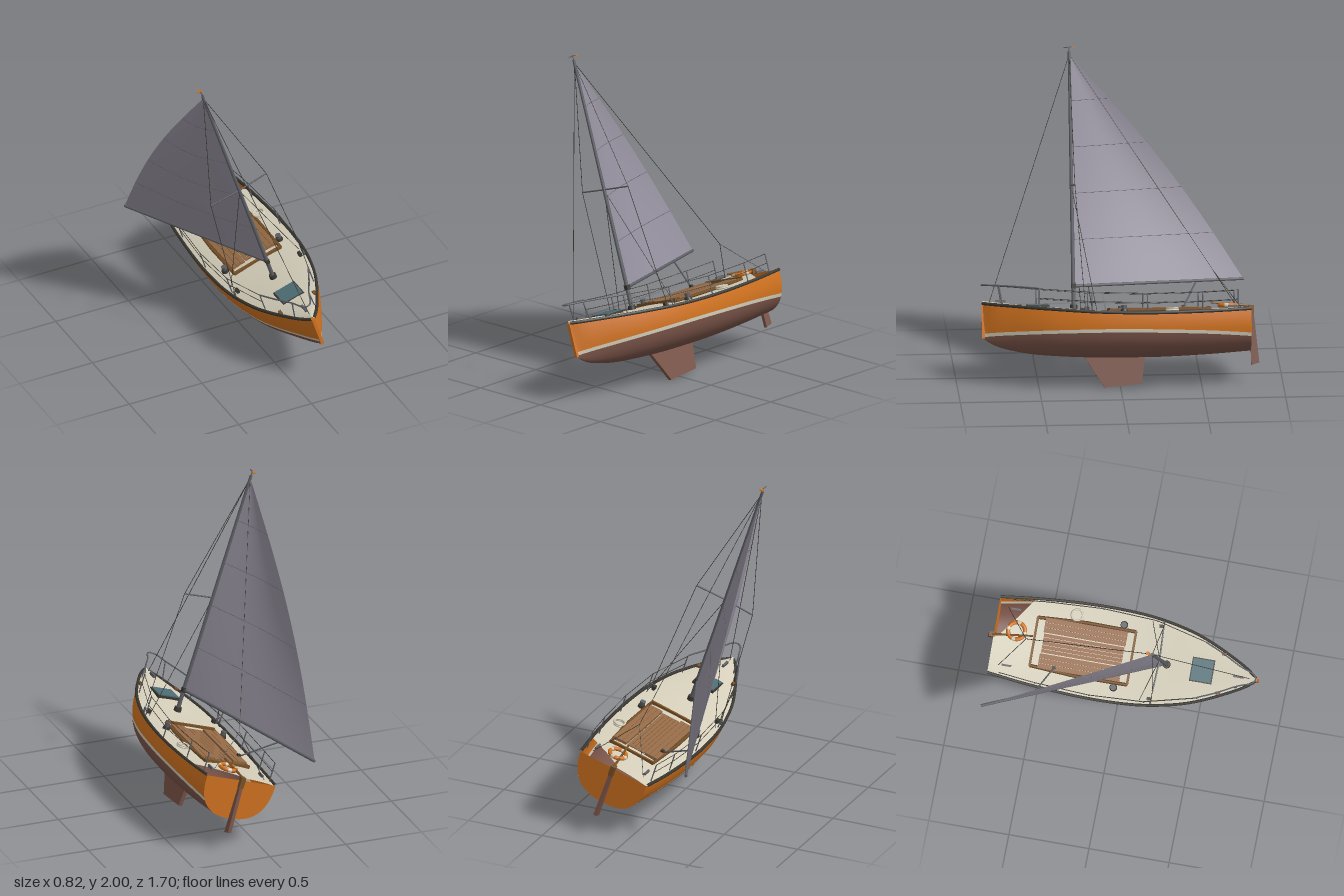
import * as THREE from 'three';

const V = (x, y, z) => new THREE.Vector3(x, y, z);
const paint = (name, color, side = THREE.FrontSide) => {
  const m = new THREE.MeshStandardMaterial({ color, side });
  m.name = name;
  return m;
};

export function createModel() {
  const D = THREE.DoubleSide;
  const orange = paint('orange paint', 0xd0721f, D);
  const brown = paint('bottom paint', 0x7a5448, D);
  const cream = paint('cream deck', 0xd2ccb8, D);
  const sailGrey = paint('sail cloth', 0x96919f, D);
  const wood = paint('teak', 0x946a46);
  const trim = paint('varnished trim', 0x7a5228);
  const dark = paint('dark rubber', 0x3a3731);
  const metal = paint('metal', 0x5e6066);
  const glass = paint('hatch glass', 0x4b6c73);

  // the whole boat heels over
  const model = new THREE.Group();
  const boat = new THREE.Group();
  boat.name = 'heeledBoat';
  boat.rotation.z = THREE.MathUtils.degToRad(18);
  boat.position.set(0.254, 0.005, 0);
  model.add(boat);

  const add = (name, geo, mat, x = 0, y = 0, z = 0) => {
    const m = new THREE.Mesh(geo, mat);
    m.name = name;
    m.position.set(x, y, z);
    boat.add(m);
    return m;
  };
  const box = (name, mat, w, h, d, x, y, z) => add(name, new THREE.BoxGeometry(w, h, d), mat, x, y, z);
  const rod = (name, mat, a, b, r, r2 = r, sides = 6) => {
    const m = add(name, new THREE.CylinderGeometry(r2, r, a.distanceTo(b), sides), mat);
    m.position.copy(a).add(b).multiplyScalar(0.5);
    m.quaternion.setFromUnitVectors(V(0, 1, 0), b.clone().sub(a).normalize());
    return m;
  };
  const tube = (name, mat, pts, r, n = 40) =>
    add(name, new THREE.TubeGeometry(new THREE.CatmullRomCurve3(pts), n, r, 6), mat);
  // grid surface from a rule f(s, t)
  const surface = (f, ns, nt) => {
    const pos = [], idx = [];
    for (let j = 0; j <= nt; j++) for (let i = 0; i <= ns; i++) pos.push(...f(i / ns, j / nt).toArray());
    for (let j = 0; j < nt; j++) for (let i = 0; i < ns; i++) {
      const a = j * (ns + 1) + i, b = a + ns + 1;
      idx.push(a, a + 1, b, a + 1, b + 1, b);
    }
    const g = new THREE.BufferGeometry();
    g.setAttribute('position', new THREE.Float32BufferAttribute(pos, 3));
    g.setIndex(idx);
    g.computeVertexNormals();
    return g;
  };

  // hull stations: z, half beam, sheer height, keel height
  const stations = [
    [0.84, 0.008, 0.53, 0.317], [0.78, 0.055, 0.522, 0.278], [0.7, 0.1, 0.513, 0.248], [0.55, 0.172, 0.497, 0.217],
    [0.4, 0.226, 0.483, 0.202], [0.2, 0.268, 0.466, 0.19], [0, 0.285, 0.456, 0.186], [-0.25, 0.285, 0.452, 0.186],
    [-0.55, 0.265, 0.458, 0.198], [-0.8, 0.236, 0.469, 0.215]];
  const sheer = new THREE.CatmullRomCurve3(stations.map(([z, b, s]) => V(b, s, z)), false, 'catmullrom');
  const keel = new THREE.CatmullRomCurve3(stations.map(([z, , , k]) => V(0, k, z)), false, 'catmullrom');
  const edge = z => {
    let lo = 0, hi = 1;
    for (let i = 0; i < 30; i++) {
      const mid = (lo + hi) / 2;
      if (sheer.getPoint(mid).z > z) lo = mid; else hi = mid;
    }
    return sheer.getPoint(lo);
  };
  // hull skin point at station t, fraction q of section height
  const skin = (t, q, side) => {
    const p = sheer.getPoint(t), k = keel.getPoint(t).y;
    const n = THREE.MathUtils.lerp(1.75, 2.5, Math.min(1, t * 2.2));
    return V(side * p.x * Math.pow(Math.max(0, 1 - Math.pow(1 - q, n)), 1 / n), k + (p.y - k) * q, p.z);
  };
  const stripe = t => (t < 0.6 ? 0.325 + 0.012 * Math.sin(t / 0.6 * Math.PI / 2) : 0.337 - 0.035 * ((t - 0.6) / 0.4) ** 2);
  const level = (t, v) => {
    const s = sheer.getPoint(t).y, k = keel.getPoint(t).y;
    return (v - k) / (s - k);
  };
  for (const side of [-1, 1]) {
    const band = (name, mat, lo, hi, rows) => add(name, surface((s, t) => {
      const a = lo(t), b = hi(t);
      return skin(t, a + (b - a) * (a === 0 ? s * s : s), side);
    }, rows, 48), mat);
    band('hullBottom', brown, () => 0, t => level(t, stripe(t)), 14);
    band('waterlineStripe', cream, t => level(t, stripe(t)), t => level(t, stripe(t) + 0.021), 2);
    band('topsides', orange, t => level(t, stripe(t) + 0.021), () => 1, 6);
    // rubbing strake along the sheer
    const pts = Array.from({ length: 30 }, (_, i) => {
      const p = sheer.getPoint(i / 29);
      return V(side * p.x, p.y + 0.002, p.z);
    });
    tube('rubbingStrake', dark, pts, 0.01, 60);
  }
  const outline = [];
  for (let i = -24; i <= 24; i++) {
    const p = skin(1, (i / 24) ** 2, Math.sign(i) || 1);
    outline.push(new THREE.Vector2(p.x, p.y));
  }
  add('transom', new THREE.ShapeGeometry(new THREE.Shape(outline)), orange, 0, 0, -0.8);
  box('stem', orange, 0.02, 0.215, 0.018, 0, 0.424, 0.838);

  // cambered deck, open at the left stern corner
  const deckY = (a, p) => p.y - 0.003 + 0.02 * (1 - a * a);
  add('deck', surface((s, t) => {
    const p = sheer.getPoint(t);
    const a = -1 + s * (1 + THREE.MathUtils.clamp((p.z + 0.77) / 0.19, 0, 1));
    return V(a * p.x, deckY(a, p), p.z);
  }, 16, 72), cream);
  const onDeck = (x, z) => { const p = edge(z); return deckY(x / p.x, p); };

  // cockpit slats, benches and coaming
  for (let i = 0; i < 5; i++) box('soleSlat', wood, 0.021, 0.012, 0.5, -0.048 + i * 0.024, 0.474, -0.245);
  for (const side of [-1, 1]) {
    for (let i = 0; i < 3; i++) box('benchSlat', wood, 0.029, 0.024, 0.51, side * (0.08 + i * 0.031), 0.477, -0.245);
    rod('coamingSide', trim, V(side * 0.15, 0.475, -0.55), V(side * 0.168, 0.475, -0.25), 0.011, 0.011, 4);
    rod('coamingSide', trim, V(side * 0.168, 0.475, -0.25), V(side * 0.165, 0.475, 0.06), 0.011, 0.011, 4);
  }
  box('coamingAft', trim, 0.31, 0.03, 0.014, 0, 0.475, -0.55);
  box('coamingFore', trim, 0.335, 0.03, 0.014, 0, 0.475, 0.06);

  // fore hatch
  box('hatchFrame', dark, 0.15, 0.024, 0.14, 0, 0.505, 0.503);
  box('hatchGlass', glass, 0.136, 0.008, 0.126, 0, 0.519, 0.503);

  // centreboard and rudder, plates in the z-y plane
  const plate = (name, mat, pts, w) => {
    const g = new THREE.ExtrudeGeometry(new THREE.Shape(pts.map(p => new THREE.Vector2(...p))), { depth: w, bevelEnabled: false });
    g.rotateY(-Math.PI / 2).translate(w / 2, 0, 0);
    return add(name, g, mat);
  };
  plate('centreboard', brown, [[0.23, 0.21], [0.1, 0.003], [-0.13, 0.022], [-0.155, 0.21]], 0.024);
  plate('rudder', brown, [[-0.8, 0.45], [-0.825, 0.45], [-0.855, 0.14], [-0.805, 0.125]], 0.022);
  box('rudderHead', trim, 0.03, 0.07, 0.035, 0, 0.46, -0.81);
  rod('tiller', trim, V(0, 0.49, -0.81), V(0.03, 0.515, -0.56), 0.008, 0.006);

  // mast, boom and sail
  const head = V(0, 2.05, 0.28), tack = V(0, 0.63, 0.28), clew = V(-0.45, 0.662, -0.79);
  rod('mast', metal, V(0, 0.46, 0.28), V(0, 2.07, 0.28), 0.013, 0.009, 12);
  rod('mastCollar', dark, V(0, 0.47, 0.28), V(0, 0.515, 0.28), 0.026, 0.022, 16);
  rod('boom', metal, tack, clew, 0.01, 0.009, 10);
  box('gooseneck', dark, 0.026, 0.03, 0.03, 0, 0.63, 0.278);
  const sailPoint = (s, t) => {
    const luff = tack.clone().lerp(head, t), bow = Math.sin(Math.PI * t);
    const leech = clew.clone().lerp(head, t).add(V(-0.03 * bow, 0.015 * bow, -0.05 * bow));
    return luff.lerp(leech, s).add(V(-0.04 * Math.sin(Math.PI * s) * bow, 0, 0));
  };
  add('mainsail', surface(sailPoint, 16, 32), sailGrey);
  for (const t of [0.2, 0.4, 0.6, 0.8])
    tube('sailSeam', metal, Array.from({ length: 9 }, (_, i) => sailPoint(i / 8, t)), 0.0015, 16);

  // masthead vane
  rod('vaneSpindle', metal, V(0, 2.06, 0.28), V(0, 2.1, 0.28), 0.003);
  rod('vaneArm', metal, V(0, 2.095, 0.315), V(0, 2.095, 0.245), 0.003);
  box('vaneTail', orange, 0.022, 0.006, 0.022, 0, 2.095, 0.255);

  // standing and running rigging
  const wire = (a, b) => rod('rigging', dark, a, b, 0.002, 0.002, 5);
  const bridle = V(0, 0.705, -0.585);
  wire(head, V(0, 0.535, 0.8));
  wire(head, bridle);
  for (const side of [-1, 1]) {
    const tip = V(side * 0.2, 1.248, 0.27), chain = V(side * 0.25, 0.47, 0.22);
    rod('spreader', metal, V(0, 1.248, 0.28), tip, 0.005);
    wire(head, tip);
    wire(tip, chain);
    wire(V(0, 1.24, 0.28), V(side * 0.245, 0.47, 0.15));
    wire(bridle, V(side * 0.18, 0.475, -0.74));
    rod('chainplate', metal, V(side * 0.25, 0.45, 0.22), V(side * 0.25, 0.5, 0.22), 0.007);
  }
  rod('mainsheet', metal, V(-0.324, 0.645, -0.49), V(-0.14, 0.485, -0.4), 0.005);
  box('sheetBlock', dark, 0.02, 0.025, 0.02, -0.14, 0.49, -0.4);

  // guard rails, pulpit and paired fittings
  const rail = (z, side, h) => {
    const p = edge(z);
    return V(side * Math.max(0, p.x - 0.018), p.y + h, z);
  };
  const posts = [0.5, 0.18, -0.16, -0.5, -0.72];
  for (const side of [-1, 1]) {
    posts.forEach((z, i) => {
      rod('stanchion', metal, rail(z, side, 0), rail(z, side, 0.125), 0.0038);
      if (i) for (const h of [0.065, 0.122]) wire(rail(posts[i - 1], side, h), rail(z, side, h));
    });
    tube('pulpitRail', metal, [rail(0.5, side, 0.125), rail(0.62, side, 0.125), rail(0.74, side, 0.122), V(side * 0.025, 0.645, 0.83), V(0, 0.645, 0.846)], 0.005, 24);
    rod('pulpitLeg', metal, rail(0.72, side, 0), rail(0.74, side, 0.122), 0.004);
    const winchY = onDeck(0.195, -0.02);
    rod('winchBase', dark, V(side * 0.195, winchY, -0.02), V(side * 0.195, winchY + 0.018, -0.02), 0.024, 0.02, 16);
    rod('winchDrum', metal, V(side * 0.195, winchY + 0.018, -0.02), V(side * 0.195, winchY + 0.042, -0.02), 0.015, 0.018, 16);
    box('fairlead', trim, 0.018, 0.02, 0.028, side * 0.122, 0.512, 0.62);
    box('genoaBlock', dark, 0.02, 0.025, 0.03, side * 0.226, 0.483, 0.21);
    box('sternCleat', metal, 0.012, 0.014, 0.06, side * 0.175, 0.488, -0.69);
  }
  box('bowCleat', metal, 0.014, 0.016, 0.065, 0, 0.543, 0.73);

  // lifebuoy with cream bands, and a coiled rope
  const buoy = new THREE.Group();
  buoy.name = 'lifebuoy';
  for (let i = 0; i < 8; i++) {
    const arc = i % 2 ? Math.PI / 8 : Math.PI * 3 / 8;
    const m = new THREE.Mesh(new THREE.TorusGeometry(0.052, 0.013, 10, 10, arc), i % 2 ? cream : orange);
    m.name = i % 2 ? 'buoyBand' : 'buoySection';
    m.rotation.z = Math.floor(i / 2) * Math.PI / 2 + (i % 2 ? Math.PI * 3 / 8 : 0);
    buoy.add(m);
  }
  buoy.rotation.x = -Math.PI / 2;
  buoy.position.set(0.045, 0.495, -0.665);
  boat.add(buoy);
  for (const [r, y] of [[0.036, 0.47], [0.034, 0.48]])
    add('ropeCoil', new THREE.TorusGeometry(r, 0.006, 8, 28), cream, 0.205, y, -0.315).rotation.x = -Math.PI / 2;

  return model;
}
